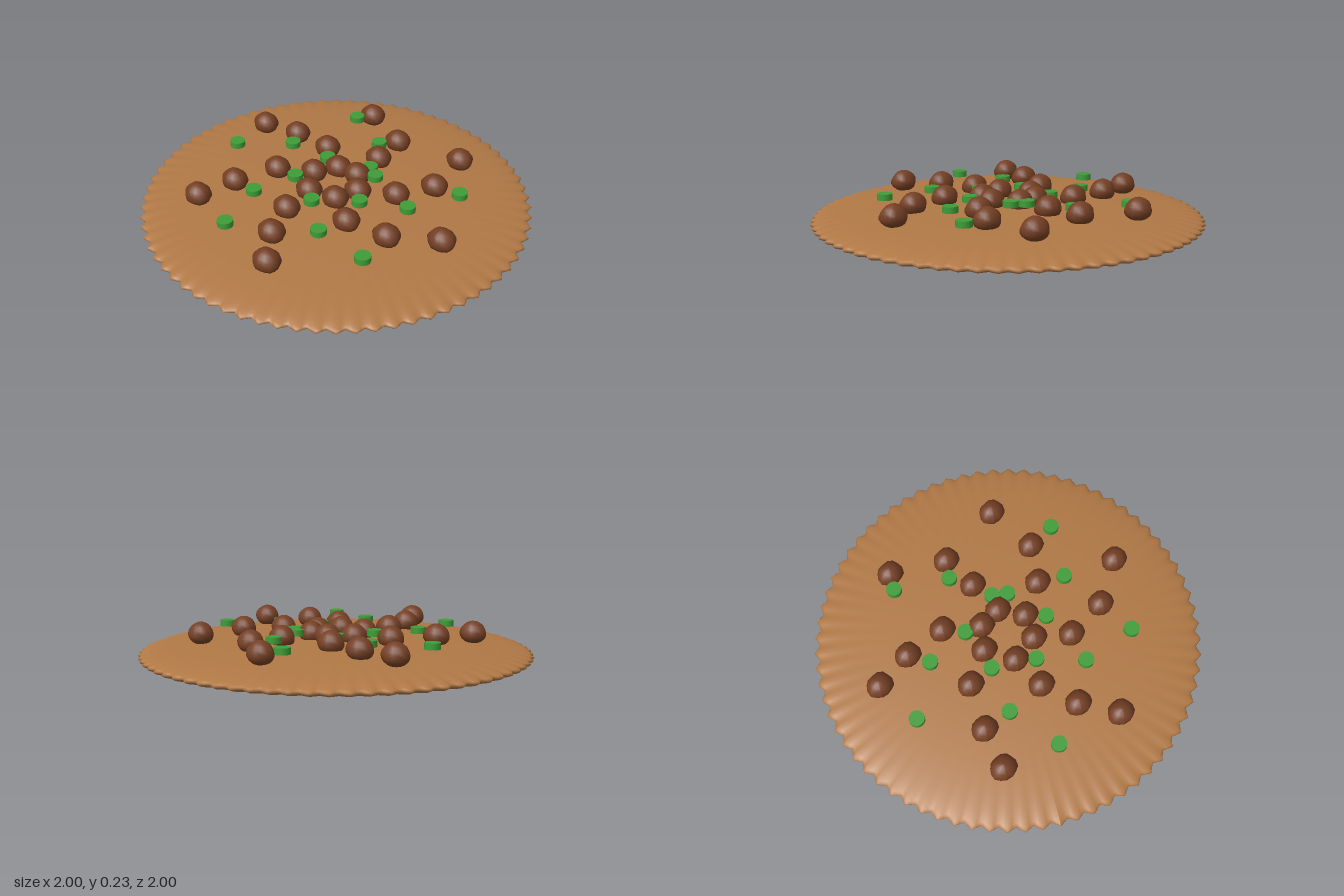
import * as THREE from 'three';

const crustMat = new THREE.MeshStandardMaterial({ color: 0xb07845 });
const meatMat = new THREE.MeshStandardMaterial({ color: 0x743f24 });
const pepperMat = new THREE.MeshStandardMaterial({ color: 0x3f9c38 });
crustMat.name = 'baked crust';
meatMat.name = 'brown meat';
pepperMat.name = 'green pepper';

// x, z of every meat lump
const MEAT = [
  [-0.11, -0.69], [0.01, -0.52], [0.47, -0.51], [0.1, -0.32], [-0.67, -0.2], [-0.46, -0.24],
  [-0.22, -0.25], [0.47, -0.21], [-0.06, -0.14], [0.07, -0.12], [0.3, -0.11], [0.13, -0.02],
  [-0.15, 0], [-0.31, 0.09], [-0.06, 0.12], [0.07, 0.11], [0.68, 0.09], [0.23, 0.22],
  [0.44, 0.24], [-0.45, 0.24], [-0.09, 0.31], [-0.55, 0.43], [0.03, 0.5], [0.25, 0.64],
];

// x, z of every pepper slice
const PEPPERS = [
  [-0.33, -0.55], [0.37, -0.51], [-0.06, -0.42], [-0.41, -0.1], [-0.17, -0.13], [0.05, -0.21],
  [0.36, -0.22], [-0.63, 0.09], [-0.18, 0.1], [0.21, -0.03], [0.2, 0.05], [0.03, 0.21],
  [-0.25, 0.34], [0.22, 0.36], [0.51, 0.37], [-0.15, 0.61],
];

// Moves every vertex of a geometry by a rule
function deform(geometry, rule) {
  const pos = geometry.attributes.position;
  const v = new THREE.Vector3();
  for (let i = 0; i < pos.count; i++) {
    rule(v.fromBufferAttribute(pos, i));
    pos.setXYZ(i, v.x, v.y, v.z);
  }
  geometry.computeVertexNormals();
  return geometry;
}

// Flat lens with a fluted rim
function crustGeometry() {
  return deform(new THREE.SphereGeometry(1, 288, 32), (v) => {
    const r = Math.hypot(v.x, v.z);
    const wave = 0.986 + 0.014 * Math.cos(72 * Math.atan2(v.z, v.x)) * r ** 4;
    v.set(v.x * wave, v.y * 0.072, v.z * wave);
  });
}

// Lumpy ball, narrower towards the top
function lumpGeometry() {
  return deform(new THREE.SphereGeometry(1, 14, 10), (v) => {
    const angle = Math.atan2(v.z, v.x);
    const ring = Math.hypot(v.x, v.z);
    const bump = 1 + ring * (0.04 * Math.sin(5 * angle + 2 * v.y) + 0.03 * Math.cos(3 * angle - 3 * v.y));
    const taper = 1 - 0.1 * v.y;
    v.set(
      v.x * bump * taper * 0.064 + v.z * 0.006,
      v.y * 0.058,
      v.z * bump * taper * 0.069,
    );
  });
}

function scatter(name, geometry, material, spots, y) {
  const group = new THREE.Group();
  group.name = name + 's';
  spots.forEach(([x, z]) => {
    const mesh = new THREE.Mesh(geometry, material);
    mesh.name = name;
    mesh.position.set(x, y, z);
    group.add(mesh);
  });
  return group;
}

export function createModel() {
  const model = new THREE.Group();
  model.name = 'toppedFlatbread';

  const crust = new THREE.Mesh(crustGeometry(), crustMat);
  crust.name = 'crust';
  crust.position.y = 0.074;
  model.add(crust);

  model.add(scatter('meatLump', lumpGeometry(), meatMat, MEAT, 0.176));
  model.add(scatter('pepperSlice', new THREE.CylinderGeometry(0.04, 0.04, 0.032, 16), pepperMat, PEPPERS, 0.181));
  return model;
}
